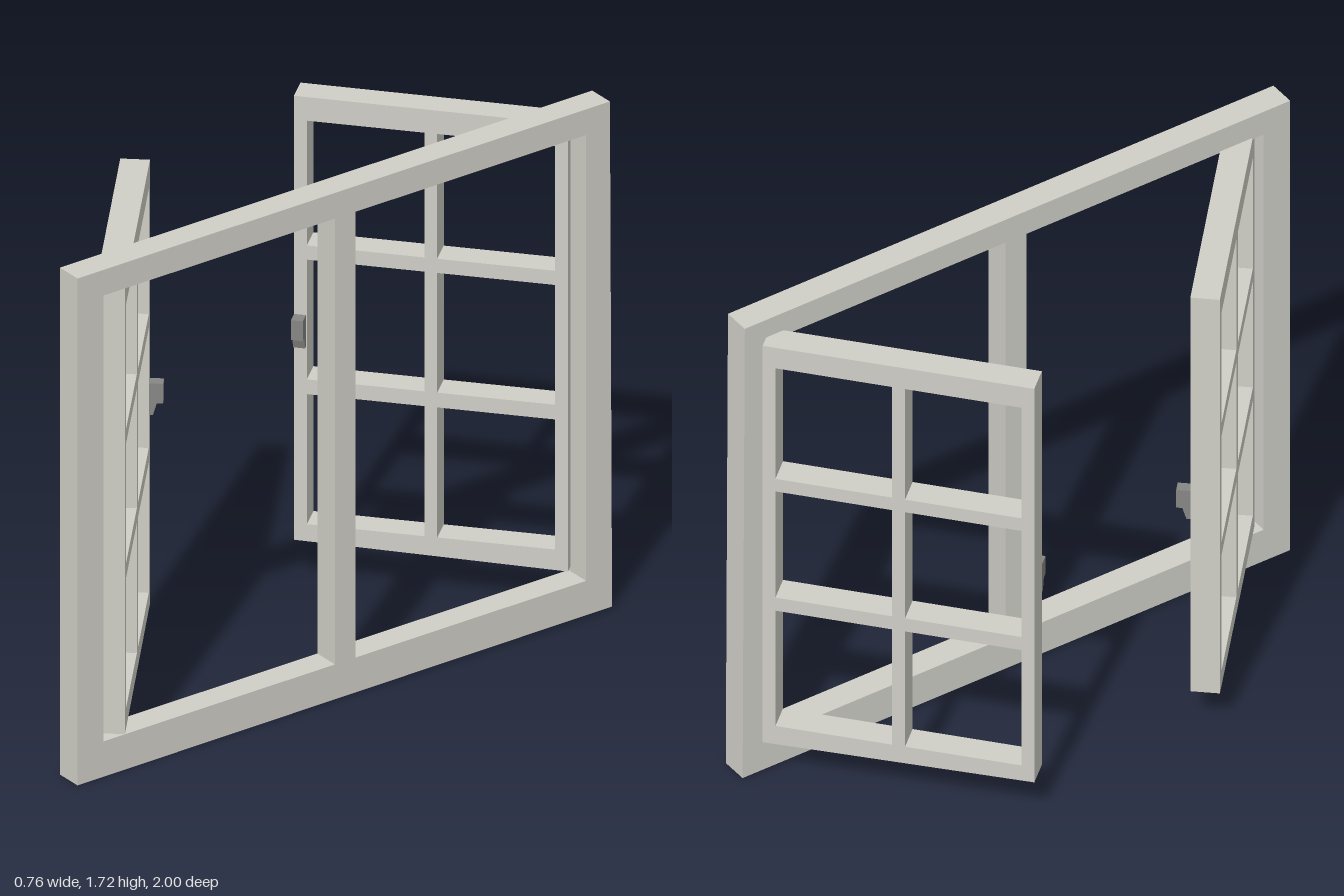
import * as THREE from 'three';

const DEPTH = 0.09;
const SASH_W = 0.847;

const shapeOf = (pts) => new THREE.Shape(pts.map(([x, y]) => new THREE.Vector2(x, y)));

// Panel outline with rectangular openings [x0, x1, y0, y1], extruded to depth
function panel(outline, holes, depth, material, name) {
  const shape = shapeOf(outline);
  for (const [x0, x1, y0, y1] of holes) {
    const pts = [[x0, y0], [x0, y1], [x1, y1], [x1, y0]];
    shape.holes.push(new THREE.Path(pts.map(([x, y]) => new THREE.Vector2(x, y))));
  }
  const mesh = new THREE.Mesh(new THREE.ExtrudeGeometry(shape, { depth, bevelEnabled: false }), material);
  mesh.name = name;
  return mesh;
}

// Six-pane sash; inner is the side (+1 or -1 along local z) carrying the handle
function makeSash(name, inner, lift, paint, metal) {
  const sash = new THREE.Group();
  sash.name = name;
  const columns = [[0.04, 0.403], [0.443, 0.807]];
  const rows = [[0.19, 0.63], [0.68, 1.085], [1.133, 1.555]];
  const holes = [];
  for (const [x0, x1] of columns) for (const [y0, y1] of rows) holes.push([x0, x1, y0, y1]);
  const outline = [[0, 0.133], [SASH_W, 0.12], [SASH_W, 1.633], [0, 1.635]];
  const lattice = panel(outline, holes, DEPTH, paint, 'sashLattice');
  lattice.position.z = inner > 0 ? 0 : -DEPTH;
  sash.add(lattice);

  // Handle: block with a short lever tapering down
  const profile = [[0, 0.79], [0.012, 0.79], [0.024, 0.83], [0.043, 0.83], [0.043, 0.897], [0, 0.897]];
  const handle = panel(profile, [], 0.037, metal, 'handle');
  handle.rotation.y = -inner * Math.PI / 2;
  handle.position.set(inner > 0 ? 0.037 : 0, 0, inner * DEPTH);
  sash.add(handle);
  sash.position.y = lift;
  return sash;
}

export function createModel() {
  const model = new THREE.Group();
  model.name = 'openWindow';
  const paint = new THREE.MeshStandardMaterial({ color: 0xcfcec6 });
  paint.name = 'pale grey paint';
  const metal = new THREE.MeshStandardMaterial({ color: 0x868684 });
  metal.name = 'dark grey metal';

  // Fixed outer frame with centre post
  const frame = panel(
    [[-1, 0], [1, 0.004], [0.992, 1.715], [-1, 1.715]],
    [[-0.903, -0.037, 0.12, 1.628], [0.04, 0.903, 0.12, 1.628]],
    DEPTH, paint, 'outerFrame');
  frame.rotation.y = Math.PI / 2;
  frame.position.x = 0.287;
  model.add(frame);

  // Two sashes swung open
  const front = makeSash('frontSash', -1, 0, paint, metal);
  front.position.x = -0.318;
  front.position.z = 0.33;
  front.rotation.y = THREE.MathUtils.degToRad(-41.4);
  const back = makeSash('backSash', 1, 0.015, paint, metal);
  back.position.x = -0.38;
  back.position.z = -0.39;
  back.rotation.y = THREE.MathUtils.degToRad(41);
  model.add(front, back);
  return model;
}
